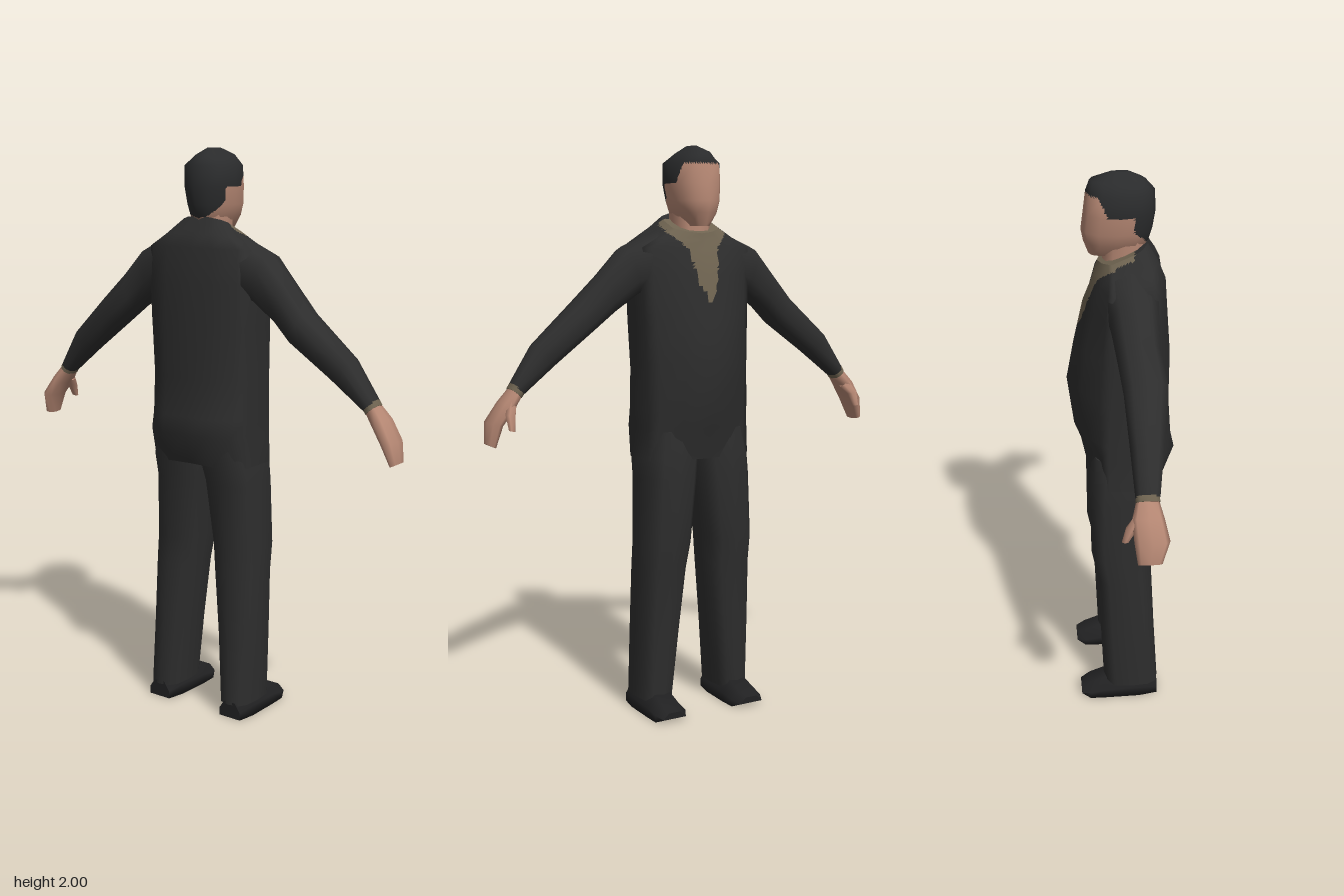
import * as THREE from 'three';

const mat = (name, color) => {
  const m = new THREE.MeshStandardMaterial({ color });
  m.name = name;
  return m;
};
const V = (x, y, z) => new THREE.Vector3(x, y, z);
const lerp = THREE.MathUtils.lerp;

// Rounded-box ring around centre c with half axes u and v
function ring(c, u, v, n = 12, power = 0.8) {
  const soft = (t) => Math.sign(t) * Math.pow(Math.abs(t), power);
  return Array.from({ length: n }, (_, i) => {
    const a = (i / n) * Math.PI * 2;
    return c.clone().addScaledVector(u, soft(Math.cos(a))).addScaledVector(v, soft(Math.sin(a)));
  });
}

// Closed, smooth skin through a list of rings, with flat caps
function loft(rings) {
  const n = rings[0].length, pos = [], idx = [];
  rings.forEach((r) => r.forEach((p) => pos.push(p.x, p.y, p.z)));
  for (let j = 0; j < rings.length - 1; j++)
    for (let i = 0; i < n; i++) {
      const a = j * n + i, b = j * n + (i + 1) % n;
      idx.push(a, b, a + n, b, b + n, a + n);
    }
  [rings[0], rings[rings.length - 1]].forEach((r, k) => {
    const start = pos.length / 3, mid = V(0, 0, 0);
    r.forEach((p) => { pos.push(p.x, p.y, p.z); mid.addScaledVector(p, 1 / n); });
    pos.push(mid.x, mid.y, mid.z);
    for (let i = 0; i < n; i++) {
      const a = start + i, b = start + (i + 1) % n;
      idx.push(start + n, k ? a : b, k ? b : a);
    }
  });
  // Turn the faces outward if the enclosed volume is negative
  const at = (i) => V(pos[3 * i], pos[3 * i + 1], pos[3 * i + 2]);
  let volume = 0;
  for (let i = 0; i < idx.length; i += 3) volume += at(idx[i]).dot(at(idx[i + 1]).cross(at(idx[i + 2])));
  if (volume < 0) idx.reverse();
  const g = new THREE.BufferGeometry();
  g.setAttribute('position', new THREE.Float32BufferAttribute(pos, 3));
  g.setIndex(idx);
  g.computeVertexNormals();
  return g;
}

// Splits each face finely and sorts the pieces into material groups by a rule
function paint(g, steps, rule, count) {
  const P = g.attributes.position, N = g.attributes.normal, index = g.index.array;
  const bins = Array.from({ length: count }, () => ({ p: [], n: [] }));
  for (let f = 0; f < index.length; f += 3) {
    const mix = (attr, i, j) => {
      const out = V(0, 0, 0), w = [1 - (i + j) / steps, i / steps, j / steps];
      w.forEach((k, q) => out.addScaledVector(V(0, 0, 0).fromBufferAttribute(attr, index[f + q]), k));
      return out;
    };
    const emit = (corners) => {
      const ps = corners.map(([i, j]) => mix(P, i, j));
      const c = V(0, 0, 0);
      ps.forEach((p) => c.addScaledVector(p, 1 / 3));
      const bin = bins[rule(c)];
      ps.forEach((p) => bin.p.push(p.x, p.y, p.z));
      corners.forEach(([i, j]) => bin.n.push(...mix(N, i, j).normalize().toArray()));
    };
    for (let i = 0; i < steps; i++)
      for (let j = 0; j < steps - i; j++) {
        emit([[i, j], [i + 1, j], [i, j + 1]]);
        if (i + j < steps - 1) emit([[i + 1, j], [i + 1, j + 1], [i, j + 1]]);
      }
  }
  const out = new THREE.BufferGeometry();
  out.setAttribute('position', new THREE.Float32BufferAttribute(bins.flatMap((b) => b.p), 3));
  out.setAttribute('normal', new THREE.Float32BufferAttribute(bins.flatMap((b) => b.n), 3));
  let start = 0;
  bins.forEach((b, k) => { out.addGroup(start, b.p.length / 3, k); start += b.p.length / 3; });
  return out;
}

// Horizontal ring from its extents
const slab = (y, back, front, z0, z1, n, power) =>
  ring(V((back + front) / 2, y, (z0 + z1) / 2), V((front - back) / 2, 0, 0), V(0, 0, (z1 - z0) / 2), n, power);

// Limb ring from its upper and lower point (z, y) and its extents in x
const limbRing = (s, n) => ([tz, ty, bz, by, back, front]) =>
  ring(V((back + front) / 2, (ty + by) / 2, s * (tz + bz) / 2),
    V(0, (ty - by) / 2, s * (tz - bz) / 2), V((front - back) / 2, 0, 0), n, 0.85);

// Torso ring: flat sides, pointed belly, broad back
function torsoRing([yFront, yBack, b, f, hz, sb, sf]) {
  const half = [[f, 0], [lerp(f, sf, 0.3), 0.5], [lerp(f, sf, 0.75), 0.85], [sf, 1],
    [sb, 1], [lerp(b, sb, 0.5), 0.85], [b, 0.45], [b + 0.005, 0]];
  const all = half.concat(half.slice(1, -1).reverse().map(([x, z]) => [x, -z]));
  return all.map(([x, z]) => V(x, lerp(yBack, yFront, (x - b) / (f - b)), z * hz));
}

export function createModel() {
  const suit = mat('suit', 0x2d2d2d), skin = mat('skin', 0xb58773), hair = mat('hair', 0x2a2b2c);
  const shirt = mat('shirt', 0x6e6350), shoe = mat('shoe', 0x212122);
  const model = new THREE.Group();
  model.name = 'standingMan';
  const add = (name, geometry, material, parent = model) => {
    const m = new THREE.Mesh(geometry, material);
    m.name = name;
    parent.add(m);
  };

  // Jacket with shirt front and collar: yFront, yBack, back, front, half width, side back, side front
  const torso = loft([
    [0.92, 0.92, -0.145, 0.112, 0.204, -0.08, 0.05],
    [1.03, 1.03, -0.185, 0.135, 0.2, -0.1, 0.05],
    [1.09, 1.09, -0.172, 0.158, 0.2, -0.09, 0.05],
    [1.27, 1.22, -0.163, 0.181, 0.202, -0.08, 0.045],
    [1.41, 1.4, -0.164, 0.155, 0.207, -0.09, 0.04],
    [1.56, 1.55, -0.153, 0.122, 0.213, -0.09, 0.035],
    [1.645, 1.67, -0.145, 0.088, 0.21, -0.09, 0.035],
    [1.675, 1.715, -0.125, 0.077, 0.15, -0.08, 0.03],
    [1.70, 1.77, -0.092, 0.072, 0.092, -0.05, 0.03],
  ].map(torsoRing));
  const shirtWidth = (y) => y < 1.46 ? -1 : y < 1.52 ? (y - 1.46) * 0.55
    : y < 1.65 ? 0.033 + (y - 1.52) * 0.2 : 0.059 + (y - 1.65) * 1.1;
  add('jacketAndShirt', paint(torso, 8, (c) =>
    (c.x > 0.02 && Math.abs(c.z) < shirtWidth(c.y)) || (c.x > -0.045 && c.y > 1.695 && Math.abs(c.z) < 0.11) ? 1 : 0, 2),
  [suit, shirt]);

  // Neck
  add('neck', loft([[1.64, -0.08, 0.06, 0.06], [1.71, -0.085, 0.055, 0.066], [1.8, -0.085, 0.05, 0.066]]
    .map(([y, b, f, h]) => slab(y, b, f, -h, h))), skin);

  // Head: y, back, front, half width; the hairline is a rule on height
  const head = loft([
    [1.725, -0.07, 0.1, 0.036], [1.77, -0.098, 0.117, 0.07], [1.81, -0.11, 0.125, 0.081],
    [1.87, -0.12, 0.117, 0.09], [1.94, -0.116, 0.108, 0.09], [1.975, -0.085, 0.095, 0.046],
    [1.999, -0.035, 0.03, 0.01],
  ].map(([y, b, f, h]) => slab(y, b, f, -h, h, 12, 0.9)));
  const hairline = (x) => x > 0.07 ? 1.937 : x > 0.04 ? 1.87 + (x - 0.04) * 2.2
    : x > -0.045 ? 1.87 : 1.82 + (x + 0.045) * 1.1;
  add('headAndHair', paint(head, 8, (c) => (c.y > hairline(c.x) ? 1 : 0), 2), [skin, hair]);

  // Limbs, mirrored across z; the man looks along +x, so his left is -z
  for (const s of [-1, 1]) {
    const side = s < 0 ? 'left' : 'right';
    const limb = new THREE.Group();
    limb.name = side + 'Limbs';
    model.add(limb);

    // Sleeve, shirt cuff, hand and thumb
    add(side + 'Sleeve', loft([
      [0.12, 1.715, 0.15, 1.5, -0.125, 0.06], [0.26, 1.655, 0.212, 1.485, -0.11, 0.046],
      [0.34, 1.567, 0.30, 1.425, -0.108, 0.032], [0.43, 1.472, 0.37, 1.367, -0.125, 0.02],
      [0.59, 1.332, 0.515, 1.258, -0.095, 0.012], [0.674, 1.203, 0.633, 1.168, -0.074, 0.005],
    ].map(limbRing(s, 10))), suit, limb);
    add(side + 'Cuff', loft([
      [0.672, 1.208, 0.63, 1.172, -0.072, 0.004], [0.682, 1.191, 0.642, 1.156, -0.073, 0.005],
    ].map(limbRing(s, 10))), shirt, limb);
    add(side + 'Hand', loft([
      [0.672, 1.2, 0.637, 1.166, -0.067, 0], [0.715, 1.148, 0.672, 1.118, -0.083, 0.018],
      [0.757, 1.08, 0.71, 1.07, -0.097, 0.014], [0.764, 1.01, 0.737, 0.997, -0.072, 0.004],
    ].map(limbRing(s, 8))), skin, limb);
    add(side + 'Thumb', loft([
      [0.695, 1.16, 0.665, 1.125, -0.03, 0.01], [0.715, 1.11, 0.68, 1.1, 0.0, 0.038],
      [0.712, 1.06, 0.69, 1.055, 0.028, 0.05],
    ].map(limbRing(s, 6))), skin, limb);

    // Trouser leg: y, back, front, inner z, outer z
    add(side + 'TrouserLeg', loft([
      [0.05, -0.132, 0.07, 0.095, 0.219], [0.3, -0.118, 0.08, 0.07, 0.219],
      [0.52, -0.108, 0.09, 0.046, 0.217], [0.62, -0.105, 0.11, 0.035, 0.215],
      [0.85, -0.122, 0.112, 0.009, 0.207], [0.93, -0.145, 0.111, 0, 0.203],
      [1.02, -0.15, 0.1, 0, 0.185],
    ].map(([y, b, f, i, o]) => slab(y, b, f, s * i, s * o, 12, 0.7))), suit, limb);

    // Shoe: x, height, inner z, outer z
    add(side + 'Shoe', loft([
      [-0.128, 0.06, 0.115, 0.205], [-0.06, 0.085, 0.1, 0.218], [0.065, 0.076, 0.095, 0.22],
      [0.125, 0.053, 0.097, 0.219], [0.157, 0.036, 0.115, 0.205],
    ].map(([x, h, i, o]) => {
      const inset = (o - i) * 0.25, base = x > 0.15 ? 0.014 : 0;
      return [[base, i], [base, o], [h * 0.45, o], [h, o - inset], [h, i + inset], [h * 0.45, i]]
        .map(([y, z]) => V(x, y, s * z));
    })), shoe, limb);
  }
  return model;
}
